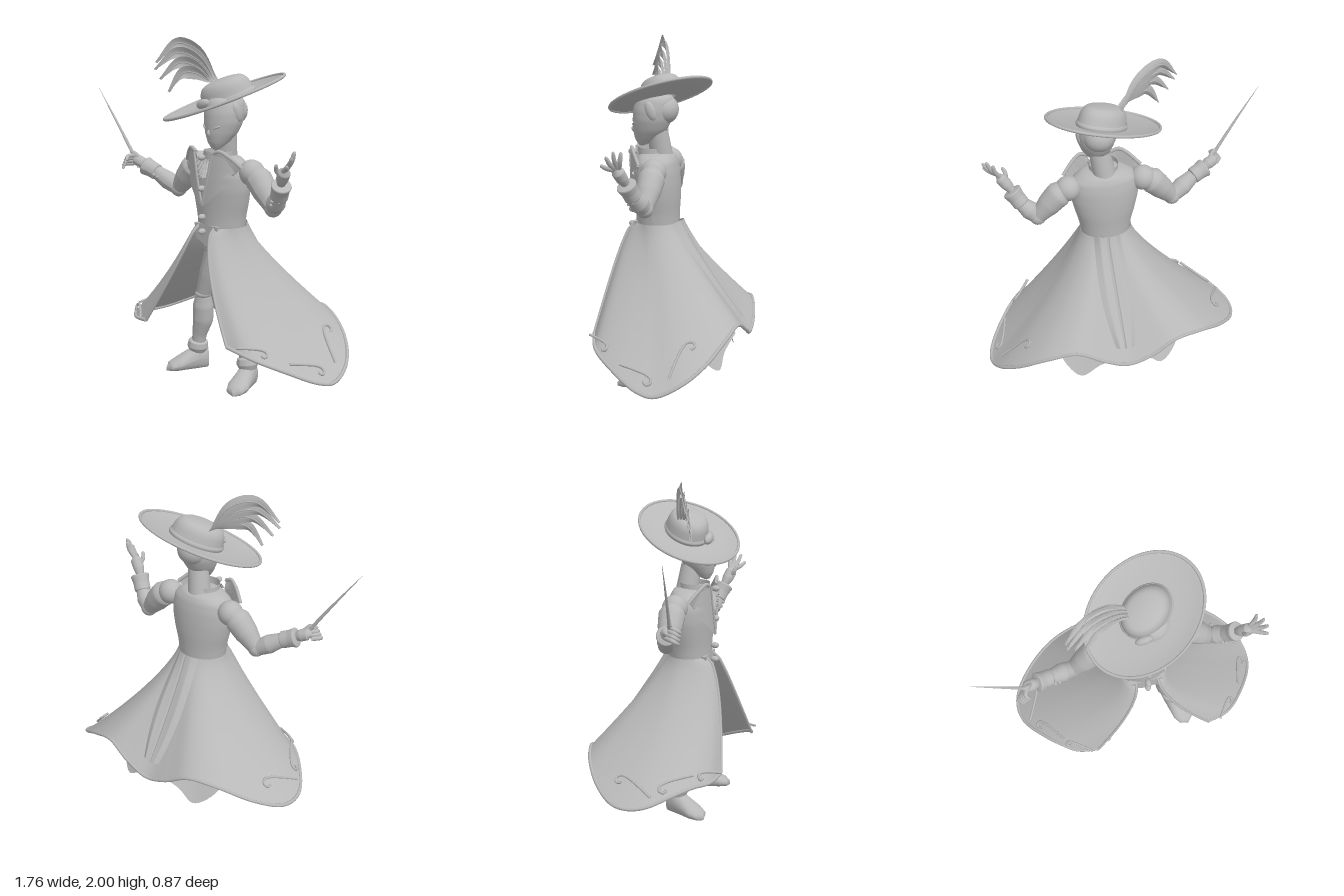
import * as THREE from 'three';

const grey = new THREE.MeshStandardMaterial({ color: 0xb8b8b8, side: THREE.DoubleSide });
grey.name = 'plain grey';
const V = (p) => new THREE.Vector3(...p);
const lerp = THREE.MathUtils.lerp;

export function createModel() {
  const model = new THREE.Group();
  const add = (name, geo, parent = model) => {
    const m = new THREE.Mesh(geo, grey);
    m.name = name;
    parent.add(m);
    return m;
  };

  // Surface from a rule f(u, v) -> [x, y, z]
  const grid = (f, nu, nv) => {
    const pos = [], idx = [];
    for (let j = 0; j <= nv; j++) for (let i = 0; i <= nu; i++) pos.push(...f(i / nu, j / nv));
    for (let j = 0; j < nv; j++) for (let i = 0; i < nu; i++) {
      const a = j * (nu + 1) + i, d = a + nu + 1;
      idx.push(a, a + 1, d, a + 1, d + 1, d);
    }
    const g = new THREE.BufferGeometry();
    g.setAttribute('position', new THREE.Float32BufferAttribute(pos, 3));
    g.setIndex(idx);
    g.computeVertexNormals();
    return g;
  };
  // Value along a list of number rows, straight between rows
  const along = (rows, t) => {
    const k = t * (rows.length - 1), i = Math.min(Math.floor(k), rows.length - 2);
    return rows[i].map((a, n) => lerp(a, rows[i + 1][n], k - i));
  };
  // Stacked ellipses: rows of [y, centre x, centre z, radius x, radius z]
  const rings = (rows, n = 32, m = 24) => grid((u, v) => {
    const [y, cx, cz, rx, rz] = along(rows, v), a = u * Math.PI * 2;
    return [cx + rx * Math.cos(a), y, cz - rz * Math.sin(a)];
  }, n, m);
  // Tube of changing radius: rows of [x, y, z, radius]
  const limb = (rows, sides = 16, n = 28) => {
    const c = new THREE.CatmullRomCurve3(rows.map((r) => V(r.slice(0, 3))));
    const g = new THREE.TubeGeometry(c, n, 1, sides), p = g.attributes.position, v = new THREE.Vector3();
    for (let i = 0; i < p.count; i++) {
      const u = Math.floor(i / (sides + 1)) / n, o = c.getPointAt(u);
      v.fromBufferAttribute(p, i).sub(o).multiplyScalar(along(rows, c.getUtoTmapping(u))[3]).add(o);
      p.setXYZ(i, v.x, v.y, v.z);
    }
    g.computeVertexNormals();
    return g;
  };
  const cord = (pts, r, n = 40) => new THREE.TubeGeometry(new THREE.CatmullRomCurve3(pts), n, r, 6);
  const ball = (name, p, r, s = [1, 1, 1], parent = model) => {
    const m = add(name, new THREE.SphereGeometry(r, 20, 14), parent);
    m.position.set(...p);
    m.scale.set(...s);
    return m;
  };

  // Torso, pelvis, neck
  add('torso', rings([[0.92, 0.1, 0.125, 0.148, 0.125], [1.0, 0.1, 0.125, 0.16, 0.127], [1.08, 0.1, 0.125, 0.182, 0.132],
    [1.16, 0.1, 0.128, 0.2, 0.135], [1.24, 0.1, 0.13, 0.205, 0.132], [1.3, 0.1, 0.13, 0.19, 0.12],
    [1.34, 0.1, 0.13, 0.13, 0.1], [1.36, 0.1, 0.13, 0, 0]]));
  add('pelvis', rings([[0.78, 0.105, 0.13, 0, 0], [0.785, 0.105, 0.13, 0.108, 0.1], [0.86, 0.105, 0.13, 0.11, 0.105],
    [0.94, 0.1, 0.125, 0.12, 0.11]]));
  add('neck', rings([[1.24, 0.1, 0.09, 0.085, 0.08], [1.32, 0.105, 0.1, 0.068, 0.068], [1.48, 0.13, 0.12, 0.062, 0.06]]));
  add('neckBand', rings([[1.315, 0.1, 0.15, 0.088, 0.09], [1.375, 0.1, 0.15, 0.085, 0.09]]));

  // Waistcoat tip, buttons, cravat
  const tip = new THREE.Shape([[0, 0.95], [0.02, 0.86], [0.07, 0.84], [0.1, 0.822], [0.13, 0.84], [0.18, 0.86], [0.2, 0.95]]
    .map((p) => new THREE.Vector2(...p)));
  add('waistcoatTip', new THREE.ExtrudeGeometry(tip, { depth: 0.03, bevelEnabled: false })).position.z = 0.22;
  for (const y of [1.345, 1.165, 1.0, 0.915]) ball('button', [0.098, y, 0.277], 0.018, [1, 1, 1.4]);
  for (const [top, w] of [[1.335, 0.055], [1.305, 0.048], [1.275, 0.036]]) {
    add('cravatRuffle', grid((u, v) => [0.1 + (u * 2 - 1) * w * lerp(0.7, 1, v), top - 0.04 * v - 0.006 * Math.cos(u * 18) * v,
      0.258 + v * (0.022 + 0.008 * Math.sin(u * 22))], 32, 4));
  }

  // Lapels and winged collar, mirrored about the body axis
  const chest = (d, y, off) => [0.1 + d, y, 0.125 + 0.135 * Math.sqrt(Math.max(0.05, 1 - (d / 0.215) ** 2)) + off];
  for (const s of [-1, 1]) {
    const inner = [[0.075, 1.37], [0.06, 1.3], [0.05, 1.25], [0.04, 1.21], [0.02, 1.14], [0.0, 1.07]];
    const outer = [[0.15, 1.35], [0.2, 1.27], [0.135, 1.245], [0.175, 1.21], [0.09, 1.13], [0.008, 1.06]];
    add('lapel', grid((u, v) => {
      const a = along(inner, v), b = along(outer, v);
      return chest(s * lerp(a[0], b[0], u), lerp(a[1], b[1], u), 0.016);
    }, 6, 30));
    add('lapelEdge', cord(inner.map(([d, y]) => V(chest(s * d, y, 0.018))), 0.007));
    const wing = [[0.07, 1.37, 0.26], [0.12, 1.388, 0.25], [0.165, 1.365, 0.23], [0.205, 1.33, 0.205], [0.235, 1.3, 0.185]];
    const root = [[0.07, 1.33, 0.25], [0.1, 1.32, 0.25], [0.13, 1.29, 0.24], [0.16, 1.27, 0.22], [0.18, 1.25, 0.2]];
    const place = ([d, y, z]) => [0.1 + s * d, y, z];
    add('collarWing', grid((u, v) => {
      const a = along(wing, u), b = along(root, u);
      return place(a.map((q, i) => lerp(q, b[i], v)));
    }, 16, 3));
    add('collarWingEdge', cord(wing.map((p) => V(place(p))), 0.011));
  }

  // Coat skirt: waist ellipse swept out to a waving hem, open at the front
  const hem = new THREE.CatmullRomCurve3([[0.47, 0.345, 0.42], [0.62, 0.3, 0.37], [0.75, 0.23, 0.24], [0.85, 0.155, 0.08],
    [0.87, 0.14, -0.02], [0.83, 0.2, -0.16], [0.73, 0.28, -0.27], [0.58, 0.37, -0.35], [0.4, 0.42, -0.4],
    [0.25, 0.35, -0.425], [0.1, 0.29, -0.425], [-0.05, 0.33, -0.425], [-0.2, 0.4, -0.4], [-0.38, 0.38, -0.34],
    [-0.55, 0.3, -0.23], [-0.66, 0.24, -0.1], [-0.685, 0.23, 0], [-0.665, 0.245, 0.1], [-0.58, 0.29, 0.22],
    [-0.48, 0.32, 0.32], [-0.38, 0.32, 0.39], [-0.25, 0.335, 0.42]].map(V));
  const skirt = (u, v) => {
    const h = hem.getPoint(u), a = lerp(-Math.PI * 0.36, Math.PI * 1.36, u);
    const x = 0.1 + 0.155 * Math.cos(a), z = 0.125 - 0.13 * Math.sin(a);
    const front = THREE.MathUtils.smoothstep(h.z, -0.1, 0.35);
    return [lerp(x, h.x, v ** 1.35), lerp(0.94, h.y, v), lerp(z, h.z, v ** lerp(1.15, 0.55, front))];
  };
  add('coatSkirt', grid(skirt, 110, 28));
  const span = (n, f) => Array.from({ length: n + 1 }, (_, i) => V(f(i / n)));
  add('hemTrim', cord(span(80, (t) => skirt(t, 1)), 0.011, 200));
  for (const u of [0, 1]) add('frontEdgeTrim', cord(span(16, (t) => skirt(u, t)), 0.009));
  // Raised back pleat narrowing towards the hem
  add('backPleat', grid((u, v) => {
    const p = skirt(0.476 + (u - 0.5) * lerp(0.2, 0.04, v), v * 0.88);
    const lift = 0.02 * Math.min(1, 5 * Math.min(u, 1 - u)) - (Math.abs(u - 0.5) < 0.03 ? 0.012 : 0);
    return [p[0], p[1] + lift * 0.6, p[2] - lift];
  }, 30, 20));

  // Lining tails hanging inside the back of the skirt
  const tails = new THREE.CatmullRomCurve3([[-0.32, 0.34, -0.12], [-0.25, 0.19, -0.23], [-0.15, 0.13, -0.29], [-0.05, 0.2, -0.3],
    [0.1, 0.27, -0.34], [0.24, 0.2, -0.3], [0.36, 0.13, -0.29], [0.44, 0.19, -0.23], [0.5, 0.34, -0.12]].map(V));
  add('liningTails', grid((u, v) => {
    const h = tails.getPoint(u), a = Math.PI * (1 - u);
    return [lerp(0.1 + 0.13 * Math.cos(a), h.x, v ** 1.2), lerp(0.9, h.y, v), lerp(0.12 - 0.1 * Math.sin(a), h.z, v ** 1.1)];
  }, 48, 16));

  // Long hooked cord ornaments lying on the skirt near the hem
  const hook = [[-0.11, 0], [-0.03, 0.004], [0.06, 0.002], [0.095, -0.01], [0.105, -0.036], [0.085, -0.052], [0.065, -0.038]];
  const ornament = (u, v, turn, flip, size) => {
    const o = V(skirt(u, v));
    const eu = V(skirt(u + 0.01, v)).sub(o).normalize().multiplyScalar(flip);
    const ev = V(skirt(u, v - 0.02)).sub(o);
    ev.addScaledVector(eu, -ev.dot(eu)).normalize();
    const n = eu.clone().cross(ev).multiplyScalar(flip);
    const c = Math.cos(turn) * size, s = Math.sin(turn) * size;
    const pts = hook.map(([a, b]) => o.clone().addScaledVector(eu, a * c - b * s).addScaledVector(ev, a * s + b * c)
      .addScaledVector(n, 0.01));
    add('hookOrnament', cord(pts, 0.008));
  };
  for (const [u, v, turn, size] of [[0.055, 0.92, 0.3, 0.8], [0.14, 0.9, 0.1, 1], [0.24, 0.86, 0.6, 1.15]]) {
    ornament(u, v, turn, 1, size);
    ornament(1 - u, v, turn, -1, size);
  }

  // Legs and shoes
  for (const s of [-1, 1]) {
    const side = s < 0 ? 'right' : 'left', P = (d, y, z, r) => [0.095 + s * d, y, z, r];
    add(side + 'Thigh', limb([P(0.05, 0.86, 0.12, 0.05), P(0.065, 0.76, 0.12, 0.062), P(0.11, 0.62, 0.125, 0.058), P(0.155, 0.49, 0.13, 0.045)]));
    ball(side + 'Knee', P(0.158, 0.485, 0.13).slice(0, 3), 0.05, [1, 0.6, 1]);
    add(side + 'Calf', limb([P(0.157, 0.49, 0.13, 0.042), P(0.17, 0.41, 0.12, 0.063), P(0.18, 0.32, 0.115, 0.062), P(0.205, 0.22, 0.12, 0.044), P(0.22, 0.12, 0.12, 0.038)]));
    add(side + 'BootCuff', limb([P(0.215, 0.185, 0.12, 0.035), P(0.217, 0.175, 0.12, 0.058), P(0.222, 0.14, 0.12, 0.064), P(0.226, 0.11, 0.12, 0.05)]));
    const shoe = add(side + 'Shoe', grid((u, v) => {
      const [z, w, h] = along([[-0.07, 0, 0.05], [-0.065, 0.04, 0.12], [0, 0.052, 0.13], [0.06, 0.058, 0.1], [0.12, 0.065, 0.07], [0.17, 0.05, 0.045], [0.195, 0, 0.02]], v);
      const a = u * Math.PI * 2;
      return [w * Math.cos(a), Math.max(0, h * (0.5 + 0.62 * Math.sin(a))), z];
    }, 24, 24));
    shoe.position.set(0.095 + s * 0.225, 0.005, 0.125);
    shoe.rotation.y = s * 0.38;
  }

  // Arms: shared upper arms, separate forearms
  const arm = (side, s, wrist, cuffEnd) => {
    const X = (d) => 0.1 + s * d, elbow = [X(0.41), 1.09, 0.11];
    ball(side + 'Shoulder', [X(0.225), 1.265, 0.1], 0.075);
    add(side + 'UpperArm', limb([[X(0.23), 1.27, 0.1, 0.05], [X(0.28), 1.235, 0.1, 0.078], [X(0.34), 1.17, 0.105, 0.07], [...elbow, 0.046]]));
    ball(side + 'Elbow', elbow, 0.05);
    const mid = elbow.map((e, i) => (e + wrist[i]) / 2);
    add(side + 'Forearm', limb([[...elbow, 0.045], [...mid, 0.056], [...wrist, 0.042]]));
    const at = (t) => wrist.map((w, i) => lerp(w, cuffEnd[i], t));
    add(side + 'Cuff', limb([[...at(-0.05), 0.03], [...at(0), 0.05], [...at(0.5), 0.05], [...at(0.9), 0.058], [...at(1), 0.052], [...at(1.02), 0.02]]));
    for (const t of [-0.25, -0.55]) ball(side + 'CuffButton', at(t).map((q, i) => q + [0, 0, 0.05][i]), 0.01);
  };
  arm('right', -1, [-0.455, 1.175, 0.16], [-0.54, 1.21, 0.185]);
  arm('left', 1, [0.595, 1.17, 0.15], [0.645, 1.25, 0.18]);
  const finger = (side, a, b, c) => add(side + 'Finger', limb([[...a, 0.014], [...b, 0.013], [...c, 0.009], [...c.map((q, i) => q + 0.1 * (q - b[i])), 0.001]], 8, 12));

  // Right hand gripping a thin rapier
  add('rightPalm', limb([[-0.53, 1.21, 0.185, 0.024], [-0.56, 1.225, 0.195, 0.036], [-0.6, 1.24, 0.205, 0.034], [-0.625, 1.24, 0.21, 0.005]]));
  for (let i = 0; i < 4; i++) {
    const x = -0.585 - i * 0.012, y = 1.27 - i * 0.018;
    finger('right', [x, y, 0.21], [x - 0.03, y - 0.005, 0.26], [x - 0.01, y - 0.025, 0.285]);
  }
  finger('right', [-0.57, 1.25, 0.2], [-0.6, 1.285, 0.225], [-0.625, 1.29, 0.23]);
  add('rapier', limb([[-0.56, 1.2, 0.215, 0.012], [-0.61, 1.28, 0.225, 0.011], [-0.74, 1.47, 0.25, 0.007], [-0.88, 1.665, 0.275, 0.001]], 8));

  // Left hand spread open
  add('leftPalm', limb([[0.64, 1.25, 0.18, 0.022], [0.665, 1.285, 0.195, 0.034], [0.695, 1.325, 0.21, 0.036], [0.715, 1.35, 0.22, 0.008]]));
  for (const [dx, dy, z] of [[0.74, 1.44, 0.18], [0.772, 1.445, 0.215], [0.79, 1.42, 0.25], [0.785, 1.375, 0.28]]) {
    const a = [lerp(0.7, dx, 0.12), lerp(1.335, dy, 0.12), lerp(0.21, z, 0.3)];
    finger('left', a, [lerp(a[0], dx, 0.55) + 0.008, lerp(a[1], dy, 0.5), lerp(a[2], z, 0.6)], [dx, dy, z]);
  }
  finger('left', [0.67, 1.3, 0.21], [0.665, 1.34, 0.24], [0.68, 1.37, 0.255]);

  // Head, face and hair
  add('head', rings([[1.385, 0.14, 0.21, 0, 0], [1.395, 0.14, 0.205, 0.03, 0.025], [1.43, 0.14, 0.185, 0.058, 0.065], [1.48, 0.14, 0.162, 0.088, 0.098],
    [1.54, 0.14, 0.148, 0.11, 0.113], [1.6, 0.14, 0.14, 0.115, 0.118], [1.67, 0.14, 0.13, 0.1, 0.11], [1.72, 0.14, 0.12, 0, 0]]));
  ball('nose', [0.14, 1.485, 0.256], 0.013, [0.8, 1.5, 1.2]);
  for (const s of [-1, 1]) {
    ball('eye', [0.14 + s * 0.052, 1.52, 0.244], 0.024, [1, 0.25, 0.4]).rotation.set(0, s * 0.5, s * 0.4);
    ball('sideCurl', [0.14 + s * 0.1, 1.6, 0.135], 0.045, [0.5, 1.3, 0.7]).rotation.x = 0.35;
  }
  ball('mouth', [0.14, 1.445, 0.246], 0.018, [1, 0.25, 0.4]);
  ball('hairBun', [0.14, 1.6, 0.08], 0.087, [1.05, 0.98, 1]);

  // Tilted oval wide-brimmed hat
  const tilt = new THREE.Group(), hat = new THREE.Group();
  tilt.name = 'hatTilt';
  tilt.position.set(0.108, 1.653, 0.104);
  tilt.quaternion.setFromUnitVectors(new THREE.Vector3(0, 1, 0), V([-0.235, 0.934, 0.27]).normalize());
  hat.name = 'hat';
  hat.rotation.y = 0.58;
  hat.scale.set(1.075, 1, 0.84);
  tilt.add(hat);
  model.add(tilt);
  const lathe = (pts) => new THREE.LatheGeometry(new THREE.SplineCurve(pts.map((p) => new THREE.Vector2(...p))).getPoints(24), 48);
  add('brim', lathe([[0.1, 0.0], [0.18, 0.0], [0.27, 0.008], [0.345, 0.024]]), hat);
  const rim = add('brimTrim', new THREE.TorusGeometry(0.345, 0.009, 8, 64), hat);
  rim.rotation.x = Math.PI / 2;
  rim.position.y = 0.024;
  const crown = add('crown', lathe([[0.15, 0], [0.145, 0.04], [0.133, 0.085], [0.105, 0.115], [0.05, 0.127], [0.0001, 0.13]]), hat);
  const band = add('hatBand', lathe([[0.152, 0], [0.156, 0.015], [0.149, 0.03]]), hat);
  for (const m of [crown, band]) m.position.set(0.02, 0, -0.006);
  ball('hatJewel', [0.07, 1.642, 0.24], 0.04, [1.3, 0.7, 0.6]).rotation.z = 0.3;

  // Drooping plumes, each a thin crescent
  [[[-0.11, 1.92], [-0.24, 1.965], [-0.355, 1.85]], [[-0.11, 1.875], [-0.23, 1.91], [-0.35, 1.81]],
    [[-0.1, 1.835], [-0.2, 1.855], [-0.31, 1.755]], [[-0.09, 1.80], [-0.17, 1.795], [-0.25, 1.685]]].forEach((pts, k) => {
    const c = new THREE.CatmullRomCurve3([[0.01, 1.755], ...pts].map(([x, y]) => V([x, y, 0])));
    const off = (k - 1.5) * 0.018;
    const depth = (x) => 0.1 - 0.25 * x + 0.55 * x * x + off;
    add('plume', grid((u, v) => {
      const p = c.getPoint(u), t = c.getTangent(u), w = (v - 0.5) * (0.008 + 0.068 * Math.sin(Math.PI * u ** 0.9));
      return [p.x - t.y * w, p.y + t.x * w, depth(p.x) + 0.024 * Math.abs(v - 0.5)];
    }, 24, 4));
    add('plumeQuill', cord(span(10, (u) => { const p = c.getPoint(u); return [p.x, p.y, depth(p.x)]; }), 0.004, 24));
  });
  return model;
}
